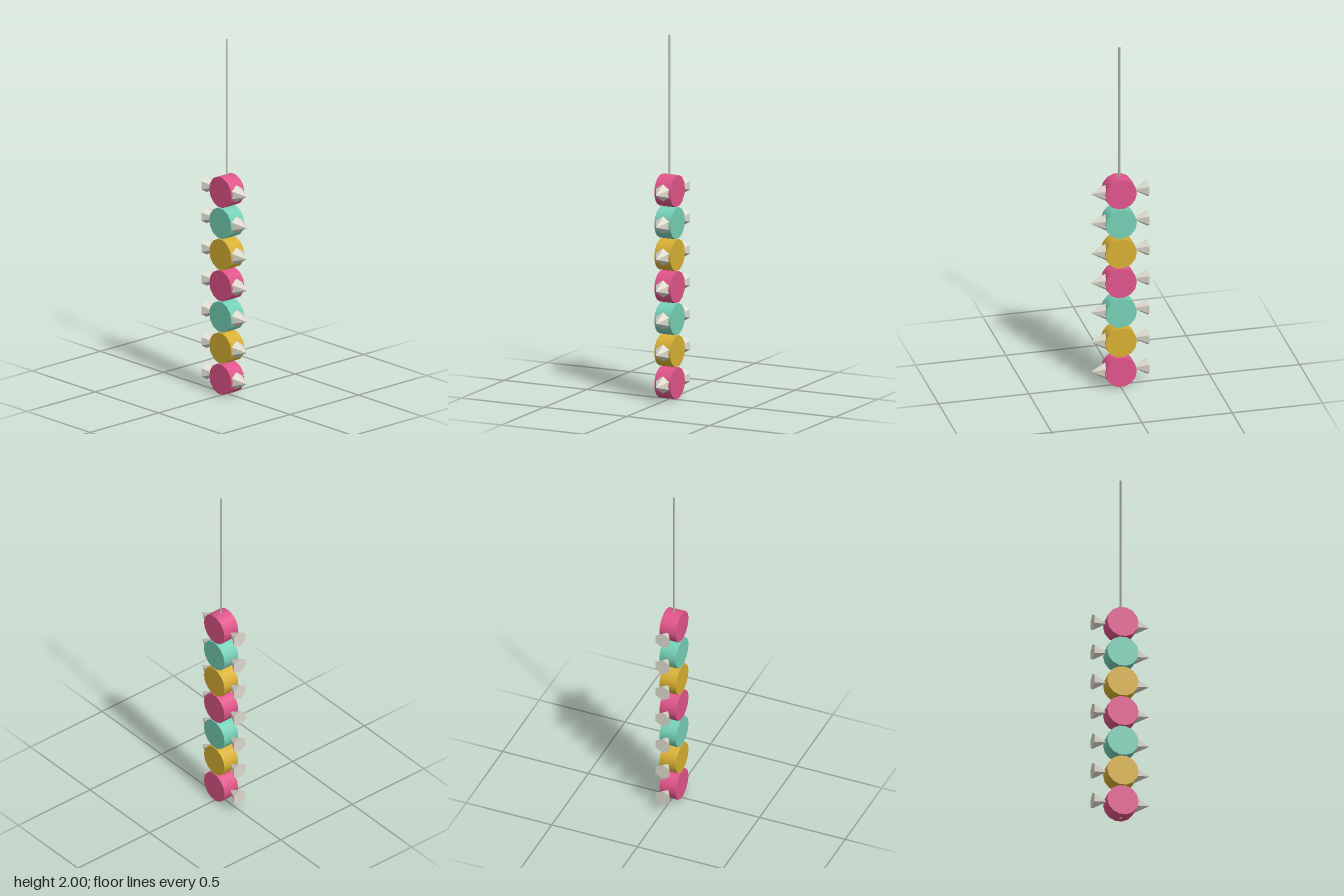
import * as THREE from 'three';

const material = (name, color, flatShading = false) => {
  const m = new THREE.MeshStandardMaterial({ color, flatShading });
  m.name = name;
  return m;
};

export function createModel() {
  const pink = material('pink', 0xe0558a);
  const yellow = material('yellow', 0xd8b033);
  const teal = material('teal', 0x76d0b6);
  const bone = material('bone', 0xdcd8cc, true);
  const cordGrey = material('cordGrey', 0xb8b8b4, true);

  const model = new THREE.Group();
  model.name = 'beadStrand';

  const add = (parent, name, geometry, mat, x, y, z) => {
    const mesh = new THREE.Mesh(geometry, mat);
    mesh.name = name;
    mesh.position.set(x, y, z);
    parent.add(mesh);
  };

  // Thin square cord running through every bead
  add(model, 'cord', new THREE.CylinderGeometry(0.0068, 0.0068, 2, 4), cordGrey, 0, 1, 0);

  // Round bead lying on its side, and a six-sided spike pointing forward
  const beadGeometry = new THREE.CylinderGeometry(0.0866, 0.0866, 0.096, 14).rotateZ(Math.PI / 2);
  const spikeGeometry = new THREE.ConeGeometry(0.047, 0.08, 6).rotateX(Math.PI / 2);

  // Seven beads in repeating colours, each with a front and a back spike
  const colours = [pink, yellow, teal];
  for (let i = 0; i < 7; i++) {
    const unit = new THREE.Group();
    unit.name = `beadUnit${i + 1}`;
    unit.position.y = 0.09 + i * 0.176;
    add(unit, 'bead', beadGeometry, colours[i % 3], 0, 0, 0);
    add(unit, 'frontSpike', spikeGeometry, bone, 0, 0, 0.117);
    add(unit, 'backSpike', spikeGeometry, bone, 0, 0, -0.117);
    model.add(unit);
  }
  return model;
}
